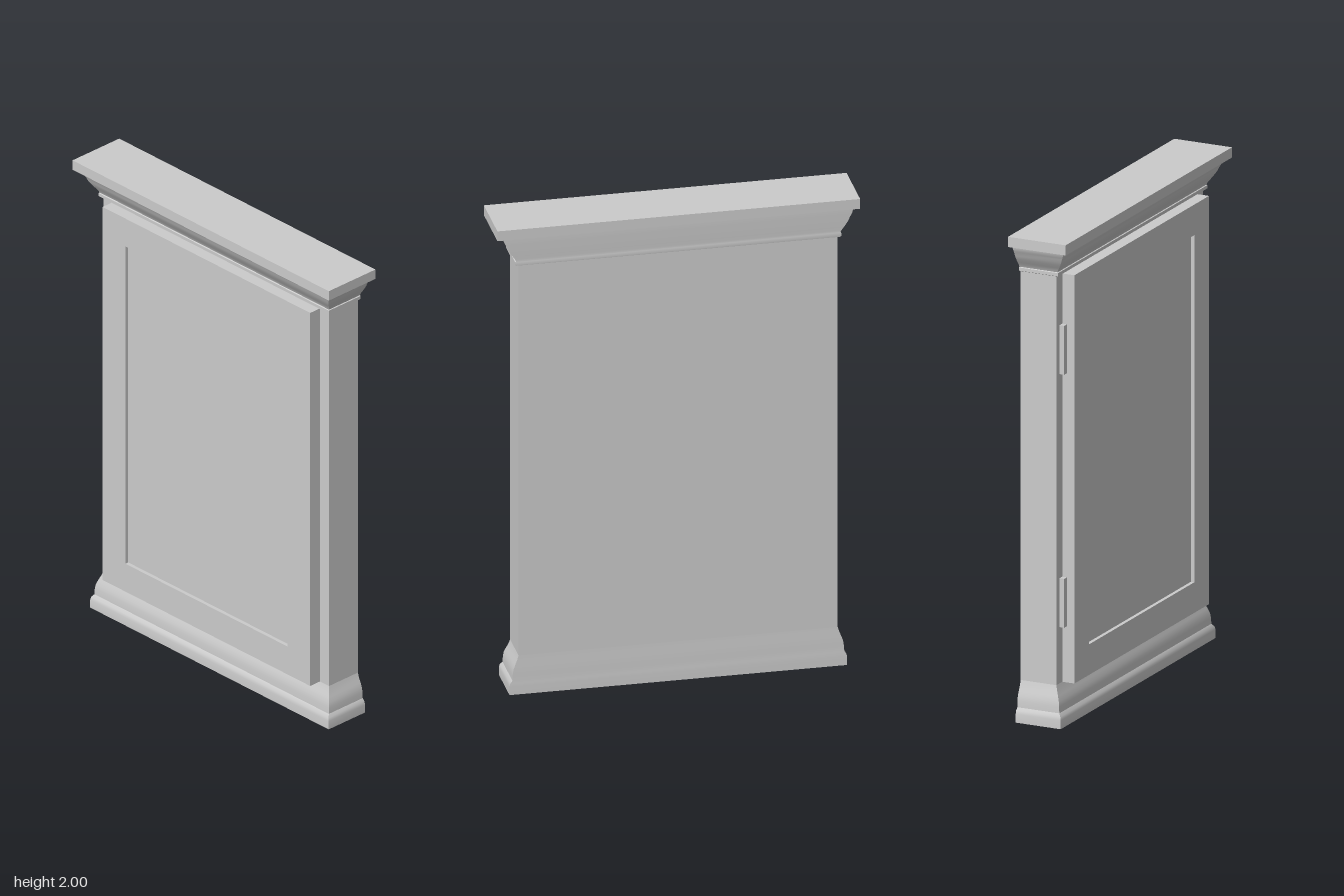
import * as THREE from 'three';
import { toCreasedNormals } from 'three/addons/utils/BufferGeometryUtils.js';

const material = new THREE.MeshStandardMaterial({ color: 0xcccccc });

// Body footprint; mouldings grow outward from it
const HALF_W = 0.638, FRONT = 0.042, BACK = -0.114;

// Stacks rectangles along a profile of [outward offset, height] points.
// The back stays nearly flush, so only a fraction of the offset goes there.
function moulding(profile) {
  const positions = [], index = [];
  for (const [out, y] of profile) {
    const x = HALF_W + out, f = FRONT + out, b = BACK - out * 0.1;
    positions.push(-x, y, f, x, y, f, x, y, b, -x, y, b);
  }
  const last = (profile.length - 1) * 4;
  for (let r = 0; r < last; r += 4) {
    for (let i = 0; i < 4; i++) {
      const a = r + i, c = r + (i + 1) % 4;
      index.push(a, c, c + 4, a, c + 4, a + 4);
    }
  }
  index.push(0, 2, 1, 0, 3, 2, last, last + 1, last + 2, last, last + 2, last + 3);
  const geometry = new THREE.BufferGeometry();
  geometry.setAttribute('position', new THREE.Float32BufferAttribute(positions, 3));
  geometry.setIndex(index);
  return toCreasedNormals(geometry, 0.6);
}

function rect(path, x0, y0, x1, y1) {
  path.moveTo(x0, y0);
  path.lineTo(x1, y0);
  path.lineTo(x1, y1);
  path.lineTo(x0, y1);
  path.closePath();
  return path;
}

export function createModel() {
  const group = new THREE.Group();
  const add = (name, geometry, x = 0, y = 0, z = 0) => {
    const mesh = new THREE.Mesh(geometry, material);
    mesh.name = name;
    mesh.position.set(x, y, z);
    group.add(mesh);
  };
  const box = (w, h, d) => new THREE.BoxGeometry(w, h, d);

  // Plinth with a rounded foot and a cove rising into the body
  add('plinth', moulding([
    [0.037, 0], [0.037, 0.035], [0.034, 0.048], [0.025, 0.06], [0.024, 0.085],
    [0.021, 0.105], [0.014, 0.125], [0.006, 0.145], [0, 0.165],
  ]));

  add('body', moulding([[0, 0.165], [0, 1.845]]));

  // Cornice: small bead, then a cove flaring out under the top slab
  add('cornice', moulding([
    [0.008, 1.84], [0.014, 1.843], [0.014, 1.856], [0.010, 1.858], [0.014, 1.867],
    [0.023, 1.88], [0.033, 1.895], [0.042, 1.91], [0.048, 1.925],
    [0.052, 1.932], [0.058, 1.945], [0.060, 1.96],
  ]));
  add('topSlab', box(1.45, 0.042, 0.252), 0, 1.979, 0);

  // Door frame around a shallow recessed panel
  const frame = rect(new THREE.Shape(), -0.587, 0.165, 0.587, 1.835);
  frame.holes.push(rect(new THREE.Path(), -0.458, 0.29, 0.458, 1.71));
  add('doorFrame', new THREE.ExtrudeGeometry(frame, { depth: 0.055, bevelEnabled: false }), 0, 0, 0.04);
  add('doorPanel', box(0.93, 1.43, 0.04), 0, 1, 0.06);

  // Hinges on the model's right edge of the door
  for (const y of [0.495, 1.53]) add('hinge', box(0.03, 0.2, 0.025), -0.596, y, 0.05);

  return group;
}
